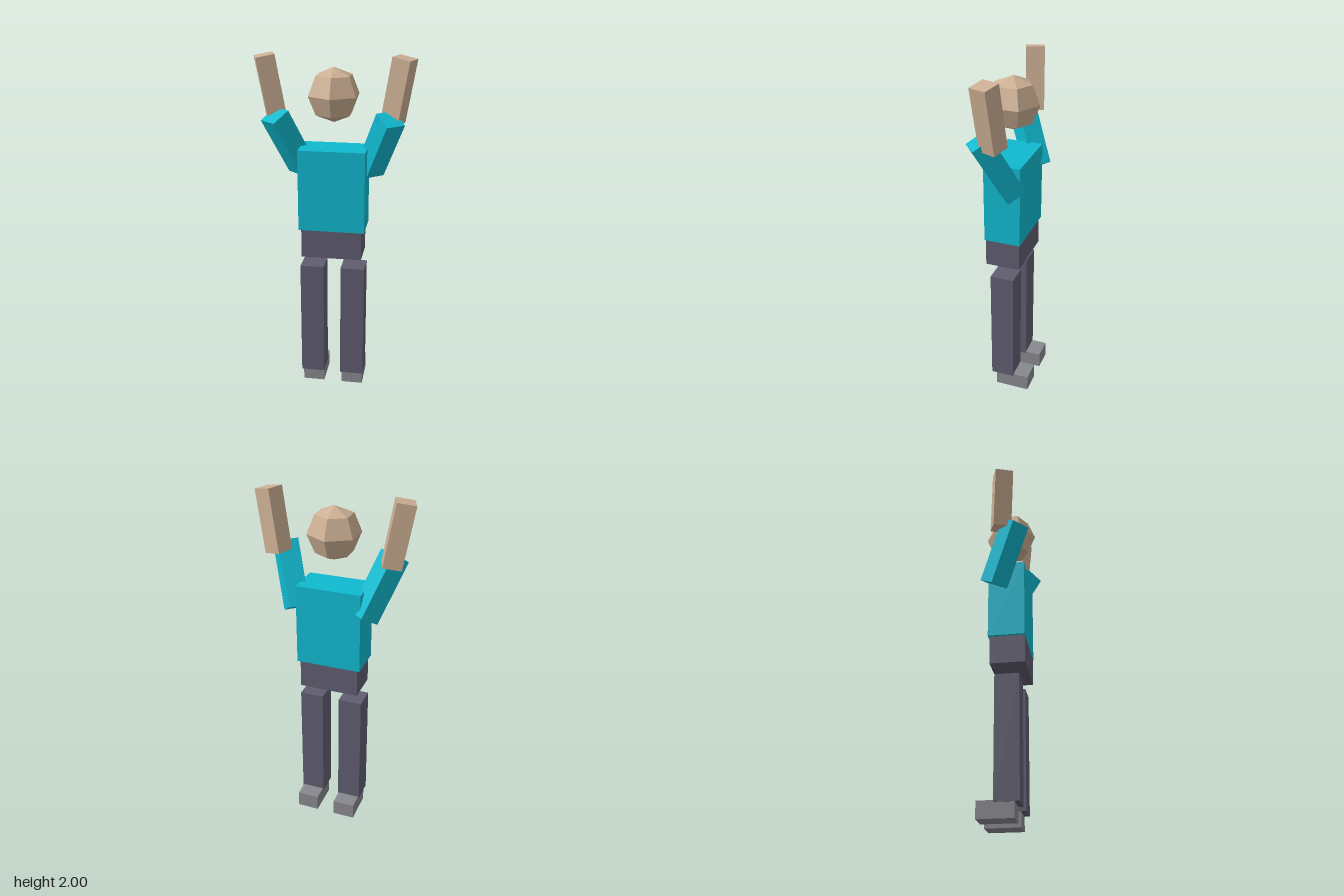
import * as THREE from 'three';

const material = (name, color, flatShading = false) => {
  const m = new THREE.MeshStandardMaterial({ color, flatShading });
  m.name = name;
  return m;
};

export function createModel() {
  const shirt = material('teal shirt', 0x10b9cf);
  const skin = material('tan skin', 0xcdb094, true);
  const trousers = material('slate trousers', 0x5f5d6f);
  const shoes = material('grey shoes', 0x88888f);

  const model = new THREE.Group();
  model.name = 'figure';

  const add = (name, geometry, mat, [x, y, z]) => {
    const mesh = new THREE.Mesh(geometry, mat);
    mesh.name = name;
    mesh.position.set(x, y, z);
    model.add(mesh);
    return mesh;
  };
  const box = (name, [w, h, d], mat, position) =>
    add(name, new THREE.BoxGeometry(w, h, d), mat, position);

  // Body
  box('torso', [0.376, 0.467, 0.21], shirt, [0, 1.259, 0]);
  box('hips', [0.345, 0.165, 0.2], trousers, [0, 0.943, 0.004]);

  // Faceted head with a corner facing forwards
  add('head', new THREE.SphereGeometry(0.15, 6, 4), skin, [0, 1.785, 0])
    .rotation.y = Math.PI / 2;

  // Paired limbs: s = 1 is the left side, s = -1 the right
  for (const s of [1, -1]) {
    const side = s > 0 ? 'left' : 'right';

    // Raised arm segment: leans by tilt towards a heading measured from +z
    const armPart = (name, size, mat, position, tilt, heading) =>
      box(name, size, mat, position).rotation.set(
        THREE.MathUtils.degToRad(tilt),
        THREE.MathUtils.degToRad(s * heading), 0, 'YXZ');

    armPart(`${side}UpperArm`, [0.117, 0.375, 0.117], shirt, [s * 0.257, 1.513, 0], 30, 40);
    armPart(`${side}Forearm`, [0.104, 0.352, 0.104], skin, [s * 0.3515, 1.818, 0], 10, 70);

    box(`${side}Leg`, [0.138, 0.702, 0.138], trousers, [s * 0.119, 0.436, 0.004]);
    box(`${side}Shoe`, [0.128, 0.095, 0.202], shoes, [s * 0.118, 0.0475, -0.056]);
  }

  return model;
}
